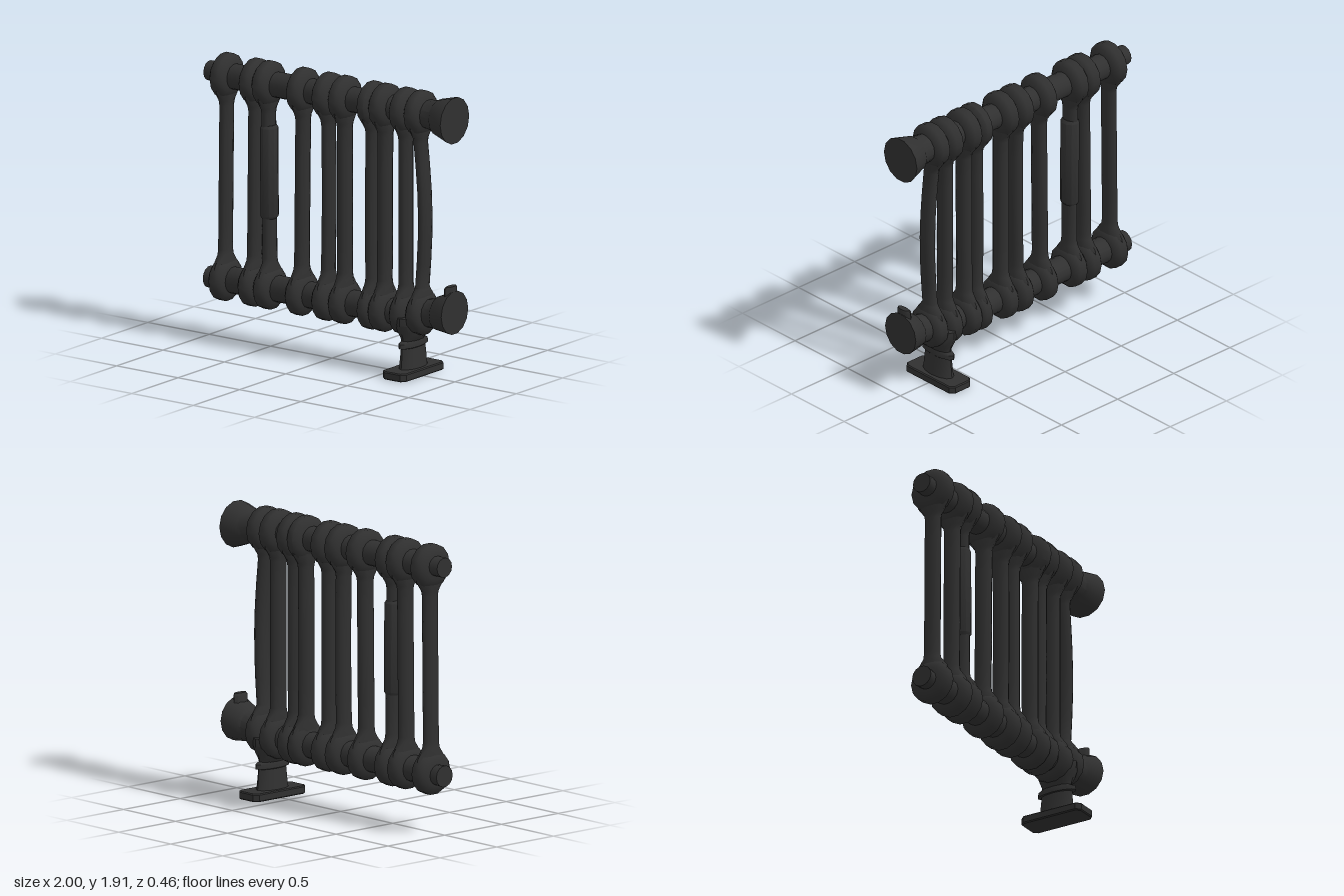
import * as THREE from 'three';
import { toCreasedNormals } from 'three/addons/utils/BufferGeometryUtils.js';

const iron = new THREE.MeshStandardMaterial({ color: 0x303030 });
iron.name = 'dark cast iron';

// Upright loft through elliptical rings: [height, x radius, z radius, x offset, z offset]
function loft(rings, sides = 12) {
  const n = rings.length - 1;
  const geo = new THREE.CylinderGeometry(1, 1, 1, sides, n);
  const p = geo.attributes.position;
  for (let i = 0; i < p.count; i++) {
    const [h, rx, rz, ox = 0, oz = 0] = rings[Math.round((p.getY(i) + 0.5) * n)];
    p.setXYZ(i, p.getX(i) * rx + ox, h, p.getZ(i) * rz + oz);
  }
  return geo;
}

// Sideways loft along x: [x, radius, centre height]
function loftX(rings, sides = 14) {
  return loft(rings.map(([x, r, cy]) => [x, r, r, -cy]), sides).rotateZ(-Math.PI / 2);
}

function add(parent, name, geo, crease = 0.75) {
  const mesh = new THREE.Mesh(toCreasedNormals(geo, crease), iron);
  mesh.name = name;
  parent.add(mesh);
  return mesh;
}

// Section columns: [top x, bottom x, radius, sideways bow at mid height]
const columns = [
  [-0.857, -0.867, 0.04, 0], [-0.62, -0.63, 0.043, 0], [-0.515, -0.505, 0.04, 0],
  [-0.235, -0.245, 0.046, 0], [-0.028, -0.03, 0.04, 0.006], [0.105, 0.105, 0.047, 0],
  [0.335, 0.333, 0.043, -0.004], [0.435, 0.43, 0.046, 0], [0.602, 0.602, 0.044, 0],
  [0.722, 0.735, 0.038, 0.03],
];

const topY = 1.768;
const bottomY = (x) => 0.397 + 0.14 * Math.max(0, x - 0.55);

export function createModel() {
  const model = new THREE.Group();
  model.name = 'radiator';

  // Upper header pipe with stub on the right and flared end on the left
  add(model, 'upperHeader', loftX([
    [-0.998, 0.066, 1.777], [-0.91, 0.066, 1.777], [-0.88, 0.085, topY], [0.5, 0.085, topY],
    [0.74, 0.09, topY], [0.86, 0.105, 1.765], [0.875, 0.12, 1.762],
    [0.975, 0.15, 1.758], [0.998, 0.157, 1.756],
  ]));

  // Lower header pipe, rising slightly towards its flared end
  add(model, 'lowerHeader', loftX([
    [-0.998, 0.072, 0.39], [-0.91, 0.066, 0.39], [-0.88, 0.088, 0.397], [0.5, 0.088, 0.397],
    [0.68, 0.09, 0.415], [0.79, 0.095, 0.43], [0.86, 0.1, 0.44], [0.875, 0.115, 0.445],
    [0.975, 0.14, 0.46], [0.998, 0.146, 0.464],
  ]));

  // Lug on top of the lower flare
  add(model, 'flareLug', loft([
    [0.54, 0.03, 0.06, 0.96], [0.625, 0.03, 0.06, 0.965], [0.64, 0.022, 0.05, 0.97],
  ], 8));

  columns.forEach(([xt, xb, r, bow], i) => {
    const section = new THREE.Group();
    section.name = 'section' + (i + 1);
    model.add(section);
    const lowY = bottomY(xb);

    // Rounded collars around both headers
    for (const [name, x, y, size] of [['upperCollar', xt, topY, 0.148], ['lowerCollar', xb, lowY, 0.145]]) {
      const w = i === 6 ? 0.045 : 0.052;
      add(section, name, loftX([
        [x - w - 0.012, 0.085, y], [x - w, 0.118, y], [x - w * 0.55, size, y],
        [x + w * 0.55, size, y], [x + w, 0.118, y], [x + w + 0.012, 0.085, y],
      ]), 1.0);
    }

    // Column with shoulders spreading into the collars
    const rings = [[lowY, 0.05, 0.135, xb], [lowY + 0.1, 0.053, 0.115, xb], [lowY + 0.165, r + 0.004, 0.066, xb]];
    for (let k = 0; k <= 6; k++) {
      const t = k / 6;
      const x = THREE.MathUtils.lerp(xb, xt, t) + bow * Math.sin(Math.PI * t);
      rings.push([THREE.MathUtils.lerp(0.6, 1.57, t), r, 0.06, x]);
    }
    rings.push([topY - 0.165, r + 0.004, 0.066, xt], [topY - 0.1, 0.053, 0.115, xt], [topY, 0.05, 0.135, xt]);
    add(section, 'column', loft(rings, 10), 1.0);

    // Thick sleeve on the third column
    if (i === 2) {
      add(section, 'sleeve', loft([
        [0.86, 0.042, 0.056, -0.51], [0.88, 0.058, 0.067, -0.508],
        [1.47, 0.058, 0.067, -0.512], [1.49, 0.042, 0.056, -0.512],
      ], 10));
    }
  });

  // Foot: base plate, waisted stem with ledge, and cradle under the lower header
  const foot = new THREE.Group();
  foot.name = 'foot';
  foot.position.x = 0.66;
  model.add(foot);

  const hx = 0.095, hz = 0.23, c = 0.03;
  const outline = [[-hx, -hz + c], [-hx + c, -hz], [hx - c, -hz], [hx, -hz + c],
    [hx, hz - c], [hx - c, hz], [-hx + c, hz], [-hx, hz - c]];
  const plate = new THREE.ExtrudeGeometry(
    new THREE.Shape(outline.map(([x, z]) => new THREE.Vector2(x, z))),
    { depth: 0.04, bevelEnabled: true, bevelThickness: 0.007, bevelSize: 0.007, bevelOffset: -0.007, bevelSegments: 1 });
  add(foot, 'basePlate', plate.rotateX(-Math.PI / 2).translate(0, 0.007, 0), 0.5);

  add(foot, 'stem', loft([
    [0.04, 0.066, 0.135], [0.07, 0.062, 0.126], [0.19, 0.045, 0.118], [0.195, 0.05, 0.146],
    [0.225, 0.05, 0.143], [0.24, 0.046, 0.112],
  ]));
  add(foot, 'cradle', loft([
    [0.235, 0.046, 0.11], [0.26, 0.062, 0.112], [0.3, 0.088, 0.128], [0.35, 0.092, 0.148], [0.4, 0.08, 0.15],
  ]));

  return model;
}
